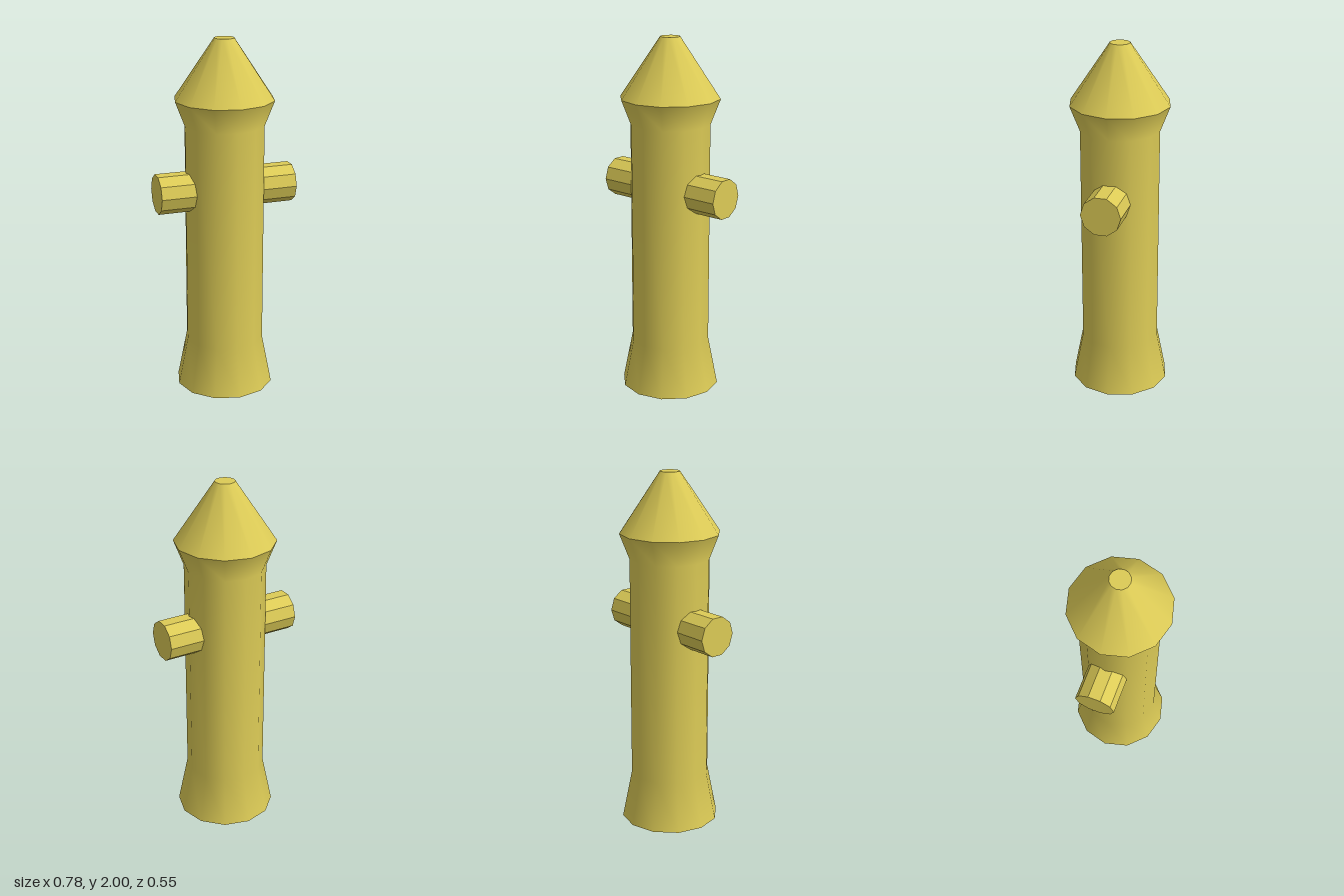
import * as THREE from 'three';

const SIDES = 12;

export function createModel() {
  const group = new THREE.Group();
  const yellow = new THREE.MeshStandardMaterial({ color: 0xdccb56 });
  yellow.name = 'hydrant yellow';

  const add = (name, geometry, x = 0, y = 0) => {
    const mesh = new THREE.Mesh(geometry, yellow);
    mesh.name = name;
    mesh.position.set(x, y, 0);
    group.add(mesh);
  };
  const lathe = (points) =>
    new THREE.LatheGeometry(points.map(([r, y]) => new THREE.Vector2(r, y)), SIDES);

  // Barrel with flared foot and collar, smooth around and along
  add('barrel', lathe([[0.277, 0], [0.222, 0.278], [0.222, 1.528], [0.277, 1.67]]));

  // Conical bonnet, with a sharp edge at the collar
  add('bonnet', lathe([[0.277, 1.67], [0.055, 2]]));

  // Flat ends
  add('bonnetTop', new THREE.CircleGeometry(0.055, SIDES).rotateX(-Math.PI / 2), 0, 2);
  add('base', new THREE.CircleGeometry(0.277, SIDES).rotateX(Math.PI / 2));

  // Faceted side outlets
  for (const [name, side] of [['leftOutlet', 1], ['rightOutlet', -1]]) {
    const outlet = new THREE.CylinderGeometry(0.111, 0.111, 0.24, 10)
      .rotateZ(-side * Math.PI / 2)
      .toNonIndexed();
    outlet.computeVertexNormals();
    add(name, outlet, side * 0.269, 1.167);
  }

  return group;
}
